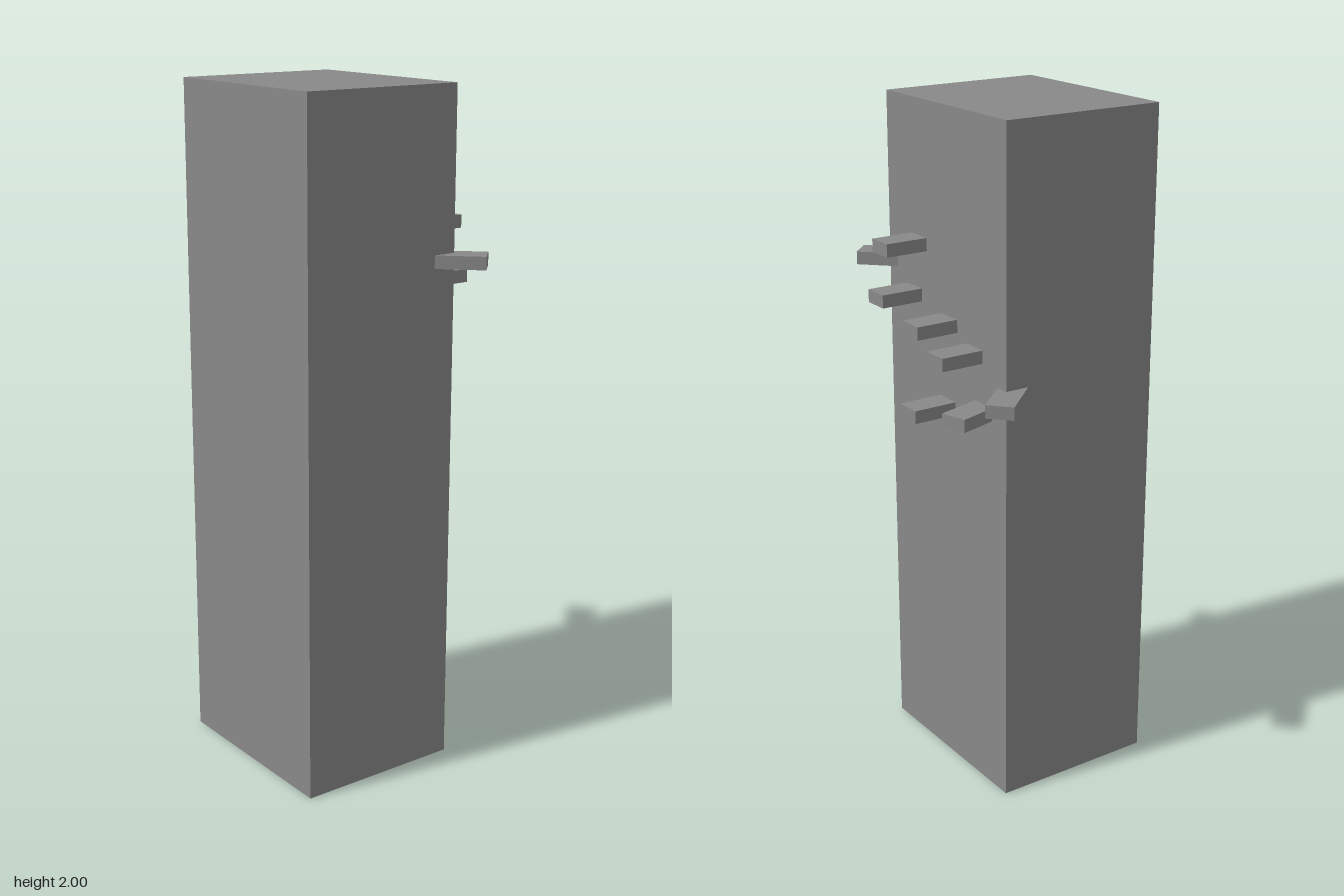
import * as THREE from 'three';

const material = new THREE.MeshStandardMaterial({ color: 0x888888, flatShading: true });

// Peg whose outer end is centred at (x, y, z); turn swings it about the vertical
function makePeg([x, y, z, turn]) {
  const length = 0.2;
  const geometry = new THREE.BoxGeometry(0.08, 0.038, length);
  geometry.translate(0, 0, length / 2);
  const peg = new THREE.Mesh(geometry, material);
  peg.name = 'peg';
  peg.position.set(x, y, z);
  peg.rotation.y = turn;
  return peg;
}

export function createModel() {
  const model = new THREE.Group();
  model.name = 'pillarWithPegs';

  // Tall square-edged pillar
  const pillar = new THREE.Mesh(new THREE.BoxGeometry(0.6, 2, 0.5), material);
  pillar.name = 'pillar';
  pillar.position.set(0.005, 1, 0.067);
  model.add(pillar);

  // Climbing pegs on the back, fanning out around both corners
  const pegs = new THREE.Group();
  pegs.name = 'pegs';
  const placements = [
    [0.142, 1.594, -0.313, 0],
    [0.378, 1.515, -0.242, -0.79],
    [0.172, 1.44, -0.313, 0],
    [-0.013, 1.393, -0.313, 0],
    [-0.14, 1.337, -0.313, 0],
    [-0.378, 1.25, -0.261, 0.74],
    [-0.22, 1.182, -0.306, 0.29],
    [0, 1.145, -0.317, 0],
  ];
  placements.forEach((p) => pegs.add(makePeg(p)));
  model.add(pegs);

  return model;
}
